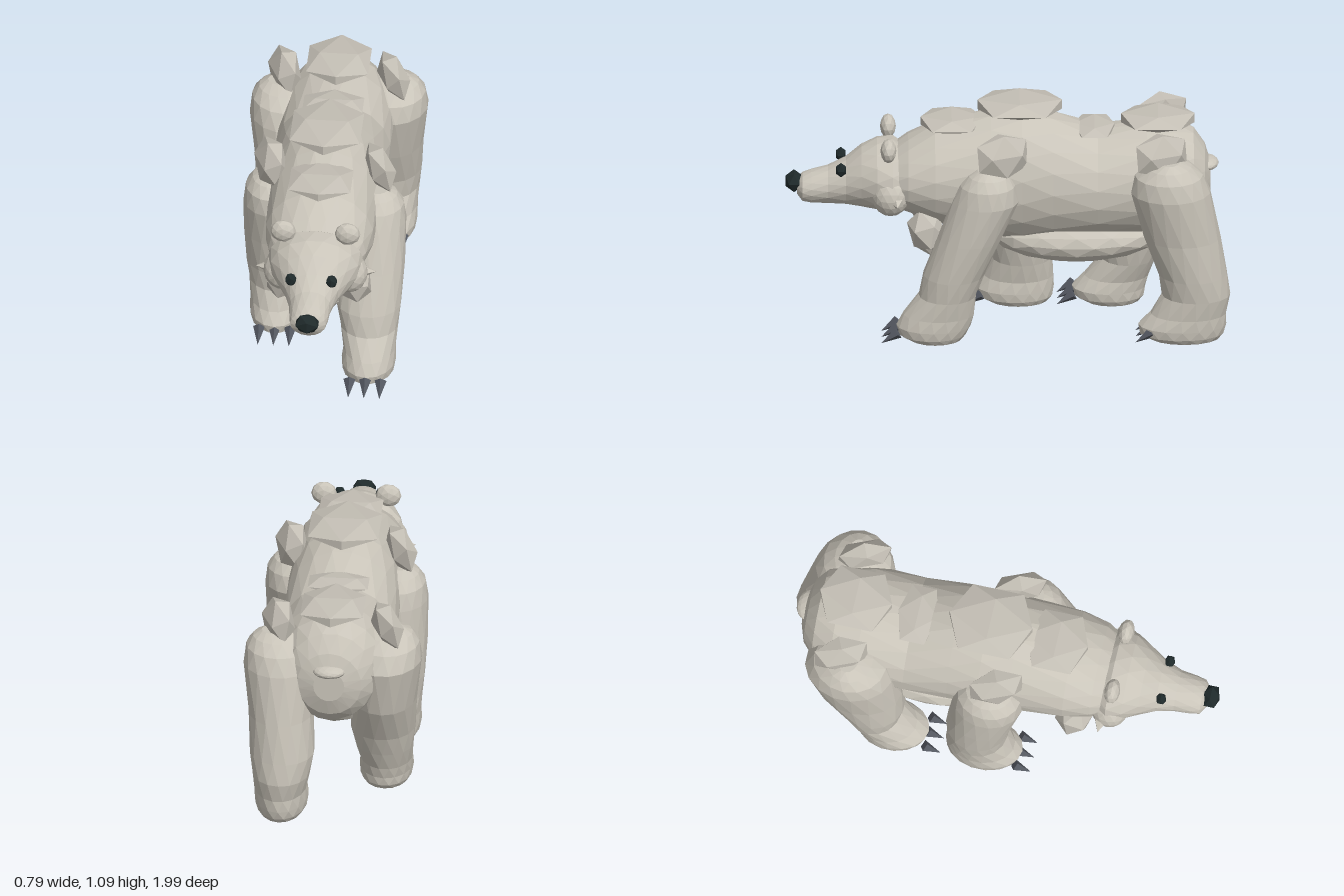
import * as THREE from 'three';

const mat = (name, color) => {
  const m = new THREE.MeshStandardMaterial({ color, flatShading: true });
  m.name = name;
  return m;
};

// Closed skin over elliptical rings [t, min, max, xCentre, xRadius].
// axis 'z': t is z (ascending), min/max are y.  axis 'y': t is y (descending), min/max are z.
function loft(rings, axis, n = 16) {
  const pos = [], idx = [];
  const put = (x, o, t) => (axis === 'z' ? pos.push(x, o, t) : pos.push(x, t, o));
  rings.forEach(([t, lo, hi, xc, rx], i) => {
    for (let j = 0; j < n; j++) {
      const a = ((j + (i % 2) * 0.5) / n) * Math.PI * 2;
      put(xc + rx * Math.cos(a), (lo + hi) / 2 + ((hi - lo) / 2) * Math.sin(a), t);
    }
  });
  for (let i = 0; i < rings.length - 1; i++) {
    for (let j = 0; j < n; j++) {
      const k = (j + 1) % n, a = i * n + j, b = i * n + k, c = a + n, d = b + n;
      // staggered rings: the diagonal alternates
      if (i % 2 === 0) idx.push(a, b, c, b, d, c);
      else idx.push(a, d, c, a, b, d);
    }
  }
  // end caps
  [0, rings.length - 1].forEach((r, end) => {
    const [t, lo, hi, xc] = rings[r], centre = pos.length / 3;
    put(xc, (lo + hi) / 2, t);
    for (let j = 0; j < n; j++) {
      const a = r * n + j, b = r * n + ((j + 1) % n);
      end ? idx.push(centre, a, b) : idx.push(centre, b, a);
    }
  });
  const g = new THREE.BufferGeometry();
  g.setAttribute('position', new THREE.Float32BufferAttribute(pos, 3));
  g.setIndex(idx);
  g.computeVertexNormals();
  return g;
}

export function createModel() {
  const model = new THREE.Group();
  model.name = 'bear';
  const fur = mat('fur', 0xc9c4b9);
  const rock = mat('rockPlate', 0xc4bfb5);
  const claw = mat('claw', 0x555962);
  const dark = mat('noseAndEyes', 0x1f2a2b);

  const add = (name, geo, material, p = [0, 0, 0], s = [1, 1, 1], r = [0, 0, 0]) => {
    const m = new THREE.Mesh(geo, material);
    m.name = name;
    m.position.set(...p);
    m.scale.set(...s);
    m.rotation.set(...r);
    model.add(m);
  };
  const ico = new THREE.IcosahedronGeometry(1, 0);
  const ball = new THREE.IcosahedronGeometry(1, 2);

  // rings on the centre line: z, bottom, top, half width
  const centred = (rows) => rows.map(([z, lo, hi, rx]) => [z, lo, hi, 0, rx]);

  // trunk with neck, shoulder hump and rump
  add('body', loft(centred([
    [-0.905, 0.62, 0.77, 0.07], [-0.88, 0.54, 0.85, 0.145], [-0.83, 0.485, 0.925, 0.2],
    [-0.74, 0.46, 0.96, 0.24], [-0.62, 0.45, 0.965, 0.255], [-0.4, 0.435, 0.935, 0.26],
    [-0.2, 0.42, 1.0, 0.258], [-0.06, 0.41, 1.03, 0.255], [0.08, 0.43, 1.015, 0.252],
    [0.33, 0.5, 0.955, 0.245], [0.45, 0.55, 0.895, 0.22], [0.56, 0.58, 0.82, 0.16],
  ]), 'z', 18), fur);
  add('belly', ball, fur, [0, 0.435, -0.305], [0.225, 0.122, 0.39]);
  add('tail', ball, fur, [0, 0.765, -0.882], [0.075, 0.03, 0.06]);

  // head tapering into the muzzle
  add('head', loft(centred([
    [0.44, 0.64, 0.78, 0.1], [0.465, 0.575, 0.84, 0.18], [0.52, 0.55, 0.88, 0.218],
    [0.59, 0.56, 0.875, 0.2], [0.66, 0.57, 0.845, 0.16], [0.73, 0.577, 0.79, 0.12],
    [0.81, 0.58, 0.75, 0.095], [0.885, 0.582, 0.73, 0.088], [0.925, 0.59, 0.715, 0.08],
    [0.948, 0.62, 0.69, 0.045],
  ]), 'z'), fur);
  add('nose', ico, dark, [0, 0.68, 0.962], [0.06, 0.05, 0.044]);

  for (const side of [-1, 1]) {
    add('cheek', ball, fur, [side * 0.15, 0.67, 0.53], [0.085, 0.095, 0.085]);
    add('cheekTuft', new THREE.ConeGeometry(0.04, 0.08, 5), fur,
      [side * 0.232, 0.66, 0.5], [1, 1, 1], [0, 0, -side * Math.PI / 2]);
    add('ear', new THREE.IcosahedronGeometry(1, 1), fur, [side * 0.145, 0.885, 0.54], [0.058, 0.055, 0.036]);
    add('eye', ico, dark, [side * 0.092, 0.77, 0.752], [0.028, 0.034, 0.026]);
  }

  // rings shared by all legs, top to bottom: height, sideways centre, sideways radius
  const legRings = [
    [0.83, 0.24, 0.05], [0.805, 0.24, 0.09], [0.76, 0.238, 0.122], [0.68, 0.232, 0.14],
    [0.5, 0.225, 0.147], [0.32, 0.216, 0.146], [0.22, 0.22, 0.13], [0.13, 0.225, 0.118],
    [0.075, 0.223, 0.122], [0.035, 0.222, 0.117], [0.01, 0.222, 0.1], [0, 0.222, 0.07],
  ];
  const clawGeo = new THREE.ConeGeometry(0.027, 0.09, 4).rotateX(Math.PI / 2 + 0.58);

  // back and front z of each ring; hind legs are taller and wider at the haunch
  const addLeg = (name, side, hind, clawTip, back, front) => {
    const rings = legRings.map(([y, x, rx], i) => {
      const haunch = hind && y > 0.6 ? 1 : 0;
      return [y + haunch * 0.045, back[i], front[i], side * x, rx + haunch * 0.027];
    });
    add(name, loft(rings, 'y'), fur);
    for (const x of [0.15, 0.22, 0.29]) add('claw', clawGeo, claw, [side * x, 0.035, clawTip - 0.04]);
  };
  addLeg('frontLegLeft', 1, false, 0.575,
    [0.05, 0, -0.03, -0.045, 0.03, 0.11, 0.147, 0.155, 0.17, 0.19, 0.21, 0.25],
    [0.14, 0.18, 0.22, 0.255, 0.32, 0.385, 0.405, 0.475, 0.505, 0.495, 0.45, 0.4]);
  addLeg('frontLegRight', -1, false, 0.2,
    [-0.05, -0.11, -0.15, -0.17, -0.185, -0.205, -0.198, -0.205, -0.205, -0.2, -0.18, -0.14],
    [0.05, 0.1, 0.14, 0.15, 0.115, 0.085, 0.075, 0.11, 0.145, 0.135, 0.09, 0.04]);
  addLeg('hindLegLeft', 1, true, -0.565,
    [-0.77, -0.82, -0.87, -0.905, -0.95, -0.98, -0.993, -0.975, -0.975, -0.965, -0.945, -0.9],
    [-0.67, -0.62, -0.565, -0.545, -0.605, -0.67, -0.685, -0.635, -0.58, -0.585, -0.63, -0.68]);
  addLeg('hindLegRight', -1, true, -0.215,
    [-0.7, -0.75, -0.81, -0.85, -0.8, -0.705, -0.665, -0.63, -0.615, -0.61, -0.59, -0.55],
    [-0.6, -0.54, -0.48, -0.445, -0.41, -0.398, -0.415, -0.34, -0.285, -0.295, -0.34, -0.39]);

  // flat plates along the spine: y, z, half width, half height, half length
  for (const [y, z, w, h, l] of [
    [0.972, 0.255, 0.14, 0.03, 0.14], [1.05, -0.05, 0.158, 0.036, 0.19],
    [0.942, -0.385, 0.135, 0.024, 0.09], [0.982, -0.67, 0.14, 0.036, 0.165],
  ]) add('spinePlate', ico, rock, [0, y, z], [w / 0.85, h / 0.85, l / 0.85]);

  // angular lumps over shoulders and hips
  for (const side of [-1, 1]) {
    for (const z of [0.028, -0.685]) {
      add('shoulderRock', ico, rock, [side * 0.245, 0.9, z], [0.066, 0.113, 0.14], [0, 0.4, side * 0.2]);
    }
    add('chestRock', ico, rock, [side * 0.157, 0.505, 0.37], [0.088, 0.108, 0.088], [0.3, 0, side * 0.4]);
  }
  add('chestRockCentre', ico, rock, [0, 0.418, 0.36], [0.108, 0.1, 0.075], [0.2, 0, 0]);

  return model;
}
